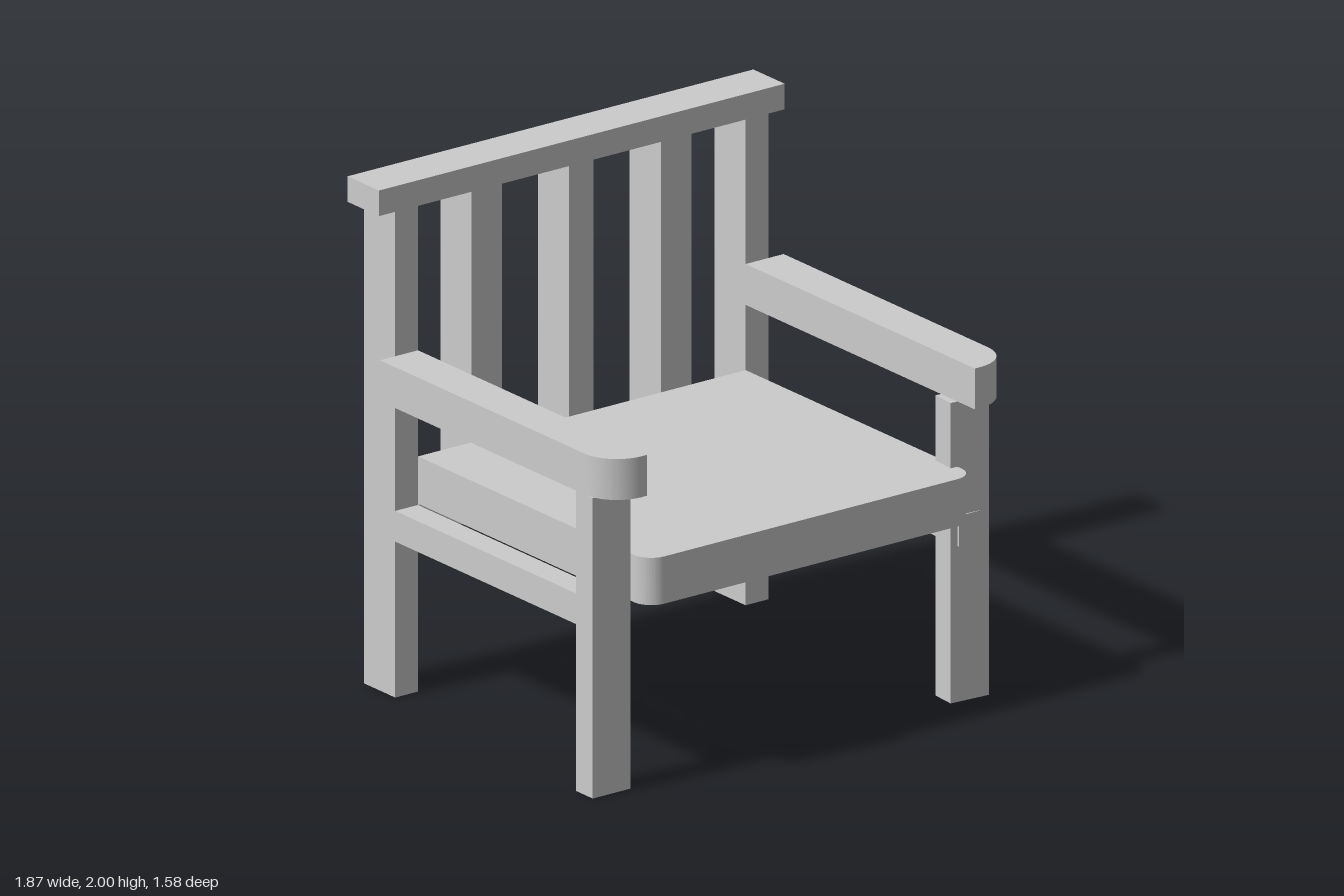
import * as THREE from 'three';
import { toCreasedNormals } from 'three/addons/utils/BufferGeometryUtils.js';

const BACK = -0.79, REST = -0.6, FRONT = 0.79;

export function createModel() {
  const chair = new THREE.Group();
  const material = new THREE.MeshStandardMaterial({ color: 0xcccccc });

  const add = (name, geometry) => {
    const mesh = new THREE.Mesh(geometry, material);
    mesh.name = name;
    chair.add(mesh);
    return mesh;
  };

  // Box given by its limits along each axis
  const bar = (name, [x0, x1], [y0, y1], [z0, z1]) => {
    const mesh = add(name, new THREE.BoxGeometry(x1 - x0, y1 - y0, z1 - z0));
    mesh.position.set((x0 + x1) / 2, (y0 + y1) / 2, (z0 + z1) / 2);
    return mesh;
  };

  // Slab reaching from the backrest to the front, with rounded front corners
  const slab = (name, [x0, x1], [y0, y1], r0, r1) => {
    const s = new THREE.Shape();
    s.moveTo(x1, -REST);
    s.lineTo(x0, -REST);
    s.lineTo(x0, -FRONT + r0);
    if (r0) s.absarc(x0 + r0, -FRONT + r0, r0, Math.PI, Math.PI * 1.5);
    s.lineTo(x1 - r1, -FRONT);
    if (r1) s.absarc(x1 - r1, -FRONT + r1, r1, -Math.PI / 2, 0);
    s.closePath();
    const geometry = new THREE.ExtrudeGeometry(s, { depth: y1 - y0, bevelEnabled: false, curveSegments: 12 });
    geometry.rotateX(-Math.PI / 2).translate(0, y0, 0);
    add(name, toCreasedNormals(geometry, 0.5));
  };

  // Backrest: posts, rails and slats
  bar('topRail', [-0.935, 0.935], [1.9, 2], [BACK, REST]);
  bar('backRail', [-0.755, 0.755], [0.61, 0.73], [BACK, REST]);
  bar('rightBackPost', [-0.86, -0.755], [0, 1.9], [BACK, REST]);
  bar('leftBackPost', [0.755, 0.86], [0, 1.9], [BACK, REST]);
  [[-0.508, -0.368], [-0.058, 0.054], [0.365, 0.505]].forEach((x, i) =>
    bar('backSlat' + (i + 1), x, [0.73, 1.9], [BACK, REST]));

  // Seat cushion
  slab('seatCushion', [-0.755, 0.755], [0.735, 0.92], 0.08, 0.08);

  // Armrests, rounded at the outer front corner
  slab('rightArmrest', [-0.93, -0.755], [1.175, 1.335], 0.15, 0);
  slab('leftArmrest', [0.755, 0.93], [1.175, 1.335], 0, 0.15);

  // Side rails; the left one shows through its leg
  bar('rightSideRail', [-0.86, -0.755], [0.61, 0.73], [REST, 0.65]);
  bar('leftSideRail', [0.755, 0.86], [0.61, 0.73], [REST, 0.694]);

  // Front legs; the left one is turned slightly
  bar('rightFrontLeg', [-0.93, -0.755], [0, 1.175], [0.59, 0.69]);
  bar('leftFrontLeg', [0.728, 0.897], [0, 1.175], [0.589, 0.689]).rotation.y = -0.07;

  return chair;
}
